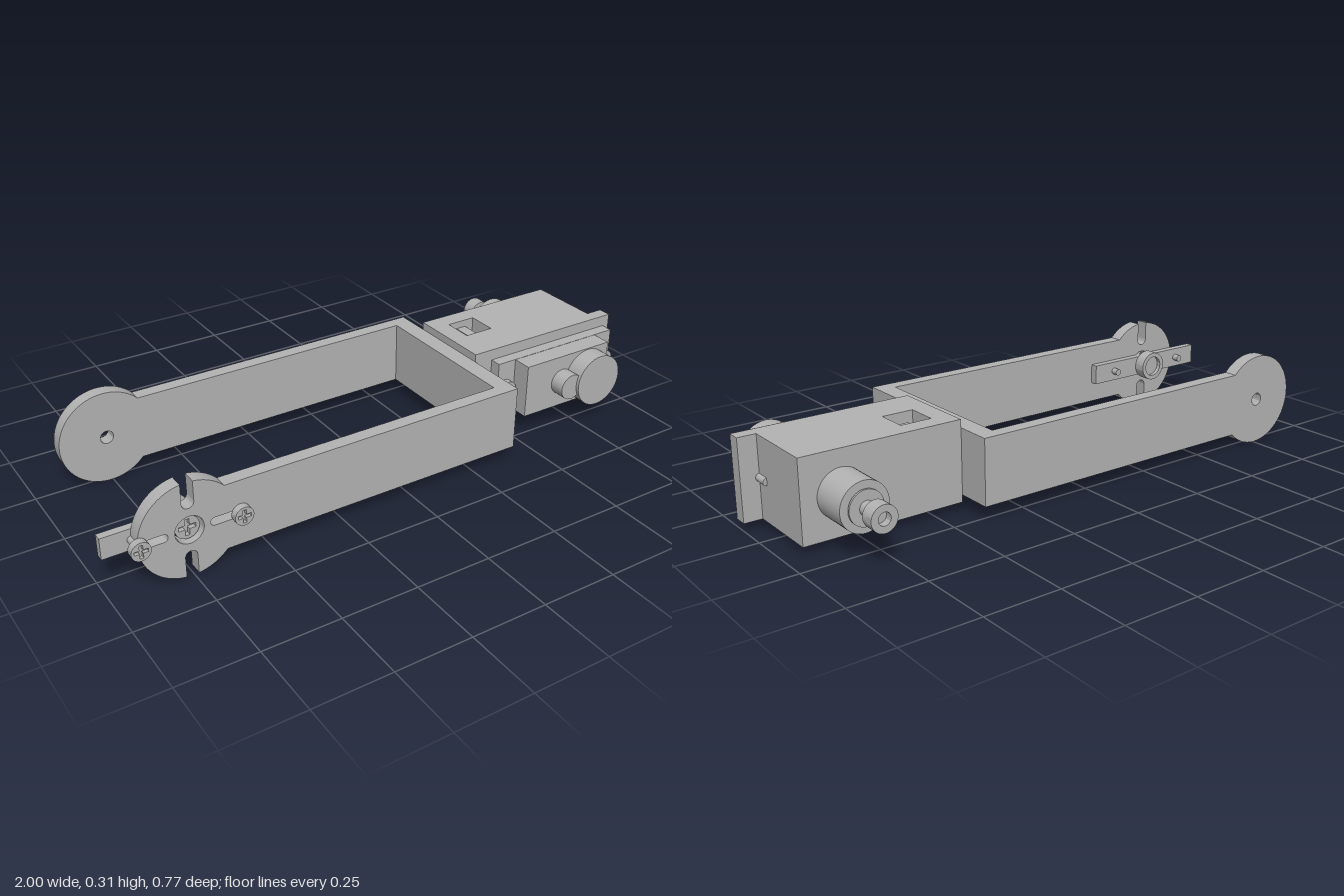
import * as THREE from 'three';
import { toCreasedNormals } from 'three/addons/utils/BufferGeometryUtils.js';

const CY = 0.156;      // height of the shared centre line
const PIVOT = -0.755;  // x of the arm pivots
const PI = Math.PI;

export function createModel() {
  const model = new THREE.Group();
  model.name = 'servoBracket';
  const grey = new THREE.MeshStandardMaterial({ color: 0xb3b3b3 });
  grey.name = 'grey plastic';

  const add = (name, geometry, parent = model) => {
    const mesh = new THREE.Mesh(geometry, grey);
    mesh.name = name;
    parent.add(mesh);
    return mesh;
  };
  // Box given by its minimum and maximum corners
  const box = (name, x0, x1, y0, y1, z0, z1) =>
    add(name, new THREE.BoxGeometry(x1 - x0, y1 - y0, z1 - z0)
      .translate((x0 + x1) / 2, (y0 + y1) / 2, (z0 + z1) / 2));
  // Cylinder along z on the centre line
  const rod = (name, x, r, z0, z1, parent) =>
    add(name, new THREE.CylinderGeometry(r, r, z1 - z0, 40)
      .rotateX(PI / 2).translate(x, CY, (z0 + z1) / 2), parent);
  // Extrusion from z0 to z1, with the shape's origin at x on the centre line
  const plate = (name, shape, x, z0, z1, parent) =>
    add(name, toCreasedNormals(new THREE.ExtrudeGeometry(shape,
      { depth: z1 - z0, bevelEnabled: false, curveSegments: 32 }), 0.5)
      .translate(x, CY, z0), parent);
  const circle = (r, Type = THREE.Shape) => new Type().absarc(0, 0, r, 0, PI * 2, false);
  const ring = (name, x, r, inner, z0, z1, parent) => {
    const s = circle(r);
    s.holes.push(circle(inner, THREE.Path));
    return plate(name, s, x, z0, z1, parent);
  };

  // Cross-head screw facing +z, head from z0 to z1, shaft back to tip
  function screw(name, x, r, z0, z1, shaftR, tip) {
    const g = new THREE.Group();
    g.name = name;
    model.add(g);
    const mid = (z0 + z1) / 2, a = r * 0.7, b = r * 0.18;
    const head = circle(r);
    head.holes.push(new THREE.Path([[a, b], [b, b], [b, a], [-b, a], [-b, b], [-a, b],
      [-a, -b], [-b, -b], [-b, -a], [b, -a], [b, -b], [a, -b]]
      .map(([px, py]) => new THREE.Vector2(px, py))));
    rod('screwBase', x, r, z0, mid, g);
    plate('screwHead', head, x, mid, z1, g);
    rod('screwShaft', x, shaftR, tip, z0, g);
  }

  // Arm with a round end; slots are cut inward from the rim
  function armShape(slots, holeR) {
    const r = 0.156, h = 0.1075, length = 0.345 - PIVOT;
    const t = Math.asin(h / r);
    const s = new THREE.Shape();
    s.moveTo(length, -h);
    s.lineTo(length, h);
    s.lineTo(r * Math.cos(t), h);
    let from = t;
    for (const { angle, w, inner } of slots) {
      const a = Math.asin(w / r);
      s.absarc(0, 0, r, from, angle - a, false);
      s.absarc(inner * Math.cos(angle), inner * Math.sin(angle), w,
        angle - PI / 2, angle - PI * 1.5, true);
      from = angle + a;
      s.lineTo(r * Math.cos(from), r * Math.sin(from));
    }
    s.absarc(0, 0, r, from, PI * 2 - t, false);
    s.holes.push(circle(holeR, THREE.Path));
    return s;
  }

  // U-shaped bracket
  const frontArm = armShape([
    { angle: PI / 2, w: 0.019, inner: 0.09 },
    { angle: PI, w: 0.013, inner: 0.078 },
    { angle: PI * 1.5, w: 0.019, inner: 0.09 },
  ], 0.045);
  const slot = new THREE.Path();
  slot.absarc(0.16, 0, 0.013, -PI / 2, PI / 2, false);
  slot.absarc(0.078, 0, 0.013, PI / 2, PI * 1.5, false);
  slot.closePath();
  frontArm.holes.push(slot);
  plate('frontArm', frontArm, PIVOT, 0.317, 0.363);
  plate('backArm', armShape([], 0.022), PIVOT, -0.276, -0.23);
  box('bracketBridge', 0.345, 0.405, CY - 0.1075, CY + 0.1075, -0.276, 0.363);

  // Servo horn behind the front arm
  box('hornArm', -1, -0.505, CY - 0.035, CY + 0.035, 0.291, 0.317);
  ring('hornHub', PIVOT, 0.052, 0.036, 0.25, 0.291);
  rod('hornHubCore', PIVOT, 0.037, 0.265, 0.291);
  screw('hornScrewOuter', -0.91, 0.03, 0.363, 0.387, 0.012, 0.267);
  screw('hornScrewInner', -0.595, 0.03, 0.363, 0.387, 0.012, 0.267);
  screw('hornCentreScrew', PIVOT, 0.038, 0.317, 0.348, 0.015, 0.3);

  // Servo housing with a cable window in its top
  box('housing', 0.405, 0.94, 0.025, 0.23, -0.155, 0.143);
  const top = new THREE.Shape();
  top.moveTo(0.405, -0.143).lineTo(0.94, -0.143).lineTo(0.94, 0.155).lineTo(0.405, 0.155);
  const cable = new THREE.Path();
  cable.moveTo(0.47, -0.01).lineTo(0.47, 0.093).lineTo(0.575, 0.093).lineTo(0.575, -0.01);
  top.holes.push(cable);
  add('housingTop', new THREE.ExtrudeGeometry(top, { depth: 0.06, bevelEnabled: false })
    .rotateX(-PI / 2).translate(0, 0.23, 0));
  box('cableExit', 0.505, 0.542, 0.23, 0.265, -0.093, -0.02);
  box('housingFlange', 0.94, 1, 0.025, 0.29, 0.098, 0.143);

  // Servo in the housing
  box('servoTabs', 0.475, 0.975, 0.063, 0.252, 0.143, 0.183);
  box('servoBody', 0.545, 0.9, 0.064, 0.251, 0.183, 0.25);
  rod('servoGearCase', 0.81, 0.091, 0.25, 0.314);
  rod('servoSmallGearCase', 0.7, 0.045, 0.25, 0.303);
  screw('servoScrewLeft', 0.94, 0.031, 0.183, 0.205, 0.0125, 0.05);
  screw('servoScrewRight', 0.505, 0.031, 0.183, 0.205, 0.0125, 0.05);

  // Rear pivot: boss, washer and socket-head pin
  rod('pivotBoss', 0.81, 0.078, -0.282, -0.155);
  rod('pivotNeck', 0.81, 0.04, -0.286, -0.282);
  rod('pivotWasher', 0.81, 0.055, -0.293, -0.286);
  rod('pivotPin', 0.81, 0.023, -0.34, -0.293);
  rod('pivotHeadBase', 0.81, 0.042, -0.362, -0.34);
  ring('pivotHead', 0.81, 0.042, 0.02, -0.387, -0.362);

  return model;
}
